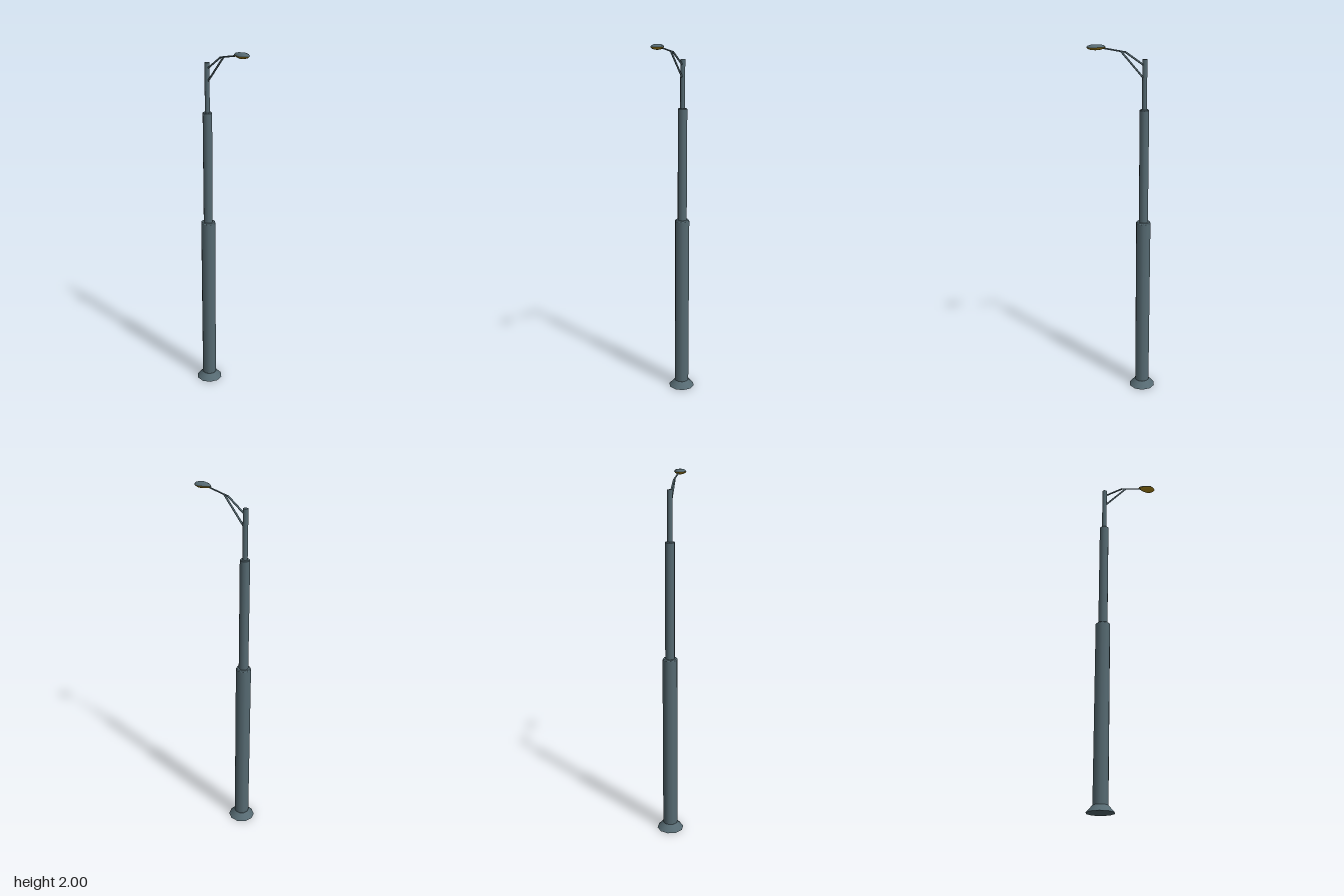
import * as THREE from 'three';

const steel = new THREE.MeshStandardMaterial({ color: 0x566a72 });
steel.name = 'blue grey steel';
const amber = new THREE.MeshStandardMaterial({ color: 0xb8921f });
amber.name = 'amber glass';

const POLE_X = -0.121;

function addMesh(group, name, geometry, material) {
  const mesh = new THREE.Mesh(geometry, material);
  mesh.name = name;
  group.add(mesh);
  return mesh;
}

// Upright ten-sided section of the pole, with corners on the x axis
function poleSection(group, name, rTop, rBottom, y0, y1) {
  const g = new THREE.CylinderGeometry(rTop, rBottom, y1 - y0, 10, 1, false, Math.PI / 10);
  g.translate(POLE_X, (y0 + y1) / 2, 0);
  addMesh(group, name, g, steel);
}

// Straight rod between two points in the z = 0 plane
function rod(group, name, a, b, radius) {
  const from = new THREE.Vector3(a[0], a[1], 0);
  const to = new THREE.Vector3(b[0], b[1], 0);
  const dir = to.clone().sub(from);
  const g = new THREE.CylinderGeometry(radius, radius, dir.length(), 8);
  const mesh = addMesh(group, name, g, steel);
  mesh.position.copy(from).add(to).multiplyScalar(0.5);
  mesh.quaternion.setFromUnitVectors(new THREE.Vector3(0, 1, 0), dir.normalize());
}

// Half of the teardrop outline of the lamp head: x, half width
const half = [[0.194, 0.005], [0.183, 0.021], [0.161, 0.033], [0.126, 0.023], [0.104, 0.013], [0.094, 0.005]];
const outline = [
  ...half.map(([x, w]) => [x, -w]),
  ...half.slice().reverse().map(([x, w]) => [x, w]),
];

// Shell lofted from scaled copies of the outline, listed bottom to top as [y, scale]
function lampShell(rings) {
  const cx = 0.147, n = outline.length, pos = [], index = [];
  for (const [y, s] of rings) {
    for (const [x, z] of outline) pos.push(cx + (x - cx) * s, y, z * s);
  }
  for (let i = 0; i < rings.length - 1; i++) {
    for (let j = 0; j < n; j++) {
      const k = (j + 1) % n;
      const a = i * n + j, b = i * n + k, c = a + n, d = b + n;
      index.push(a, b, d, a, d, c);
    }
  }
  const g = new THREE.BufferGeometry();
  g.setAttribute('position', new THREE.Float32BufferAttribute(pos, 3));
  g.setIndex(index);
  g.computeVertexNormals();
  return g;
}

export function createModel() {
  const model = new THREE.Group();
  model.name = 'streetLamp';

  // Flared foot and stepped pole, with small chamfers at the steps
  poleSection(model, 'foot', 0.042, 0.075, 0, 0.037);
  poleSection(model, 'lowerPole', 0.041, 0.041, 0.037, 1.024);
  poleSection(model, 'lowerCollar', 0.037, 0.041, 1.024, 1.03);
  poleSection(model, 'middlePole', 0.026, 0.026, 1.03, 1.652);
  poleSection(model, 'middleCollar', 0.023, 0.026, 1.652, 1.656);
  poleSection(model, 'upperPole', 0.0135, 0.0135, 1.656, 1.917);

  // Bent arm and its brace
  rod(model, 'armRise', [-0.117, 1.886], [-0.012, 1.958], 0.005);
  rod(model, 'armReach', [-0.014, 1.957], [0.105, 1.98], 0.004);
  rod(model, 'brace', [-0.117, 1.818], [0.01, 1.961], 0.005);

  // Lamp head: steel housing above, amber bowl below
  addMesh(model, 'lampHousing', lampShell([[1.986, 1], [1.994, 0.86], [1.999, 0.5], [2, 0]]), steel);
  addMesh(model, 'lampBowl', lampShell([[1.971, 0], [1.973, 0.5], [1.979, 0.85], [1.986, 1]]), amber);

  return model;
}
